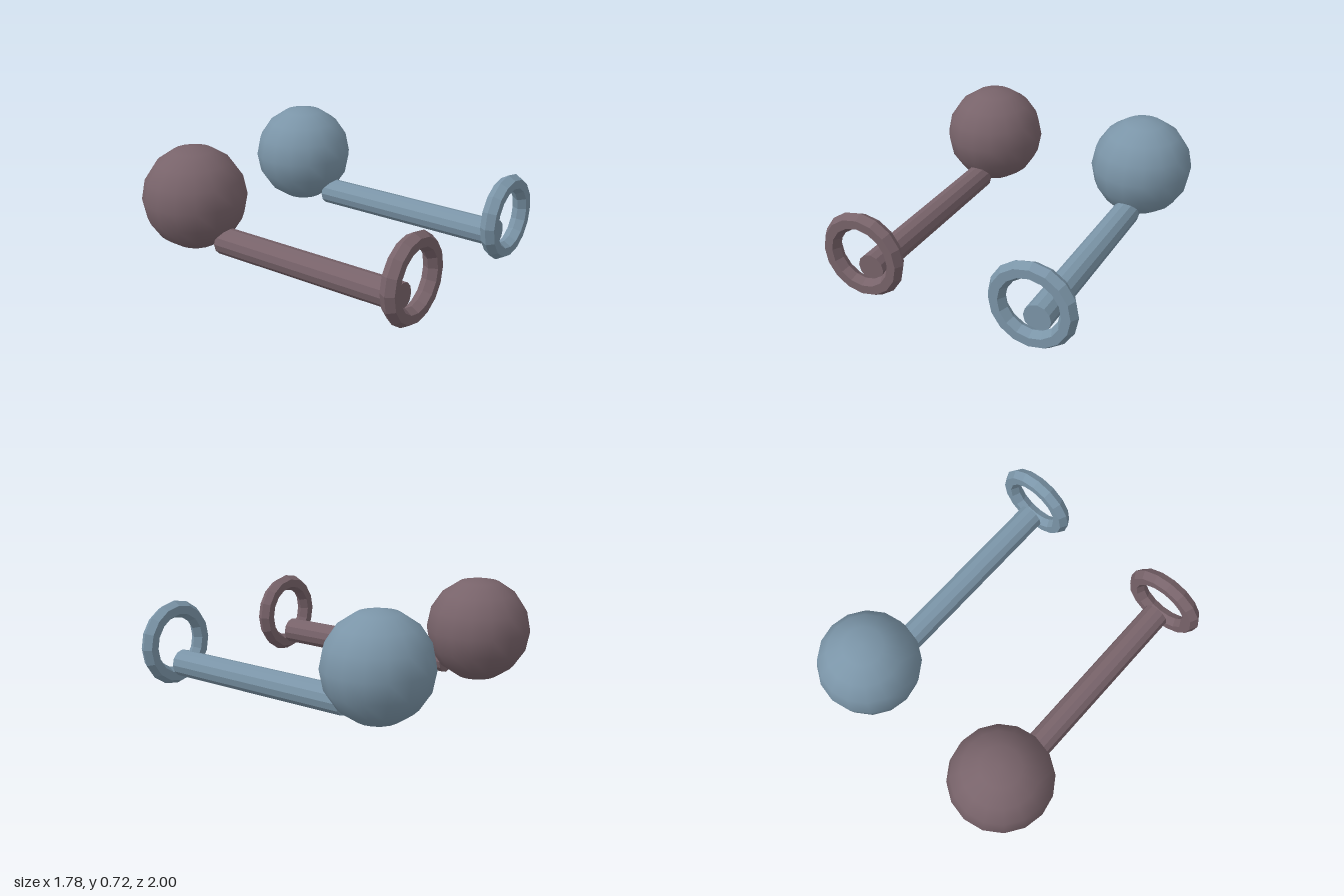
import * as THREE from 'three';

export function createModel() {
  const model = new THREE.Group();
  const mauve = new THREE.MeshStandardMaterial({ color: 0x78636a });
  const blue = new THREE.MeshStandardMaterial({ color: 0x7b95a8 });
  mauve.name = 'mauve';
  blue.name = 'slateBlue';

  // Faceted parts get their own normals per face, so materials stay shared
  const faceted = (geometry) => {
    const flat = geometry.toNonIndexed();
    flat.computeVertexNormals();
    return flat;
  };

  // Round head at the back
  const ballGeometry = new THREE.SphereGeometry(0.332, 16, 8);
  // Twelve-sided rod along z
  const rodGeometry = faceted(new THREE.CylinderGeometry(0.0875, 0.0875, 1.335, 12).rotateX(Math.PI / 2));
  // Ring with a hexagonal section at the front
  const ringGeometry = faceted(new THREE.TorusGeometry(0.222, 0.0555, 6, 16));

  function addPart(parent, name, geometry, material, y, z) {
    const mesh = new THREE.Mesh(geometry, material);
    mesh.name = name;
    mesh.position.set(0, y, z);
    parent.add(mesh);
  }

  // One pin on each side
  for (const [name, x, material] of [['rightPin', -0.557, mauve], ['leftPin', 0.557, blue]]) {
    const pin = new THREE.Group();
    pin.name = name;
    pin.position.x = x;
    addPart(pin, 'ball', ballGeometry, material, 0.393, -0.668);
    addPart(pin, 'rod', rodGeometry, material, 0.148, 0.228);
    addPart(pin, 'ring', ringGeometry, material, 0.2775, 0.952);
    model.add(pin);
  }
  return model;
}
